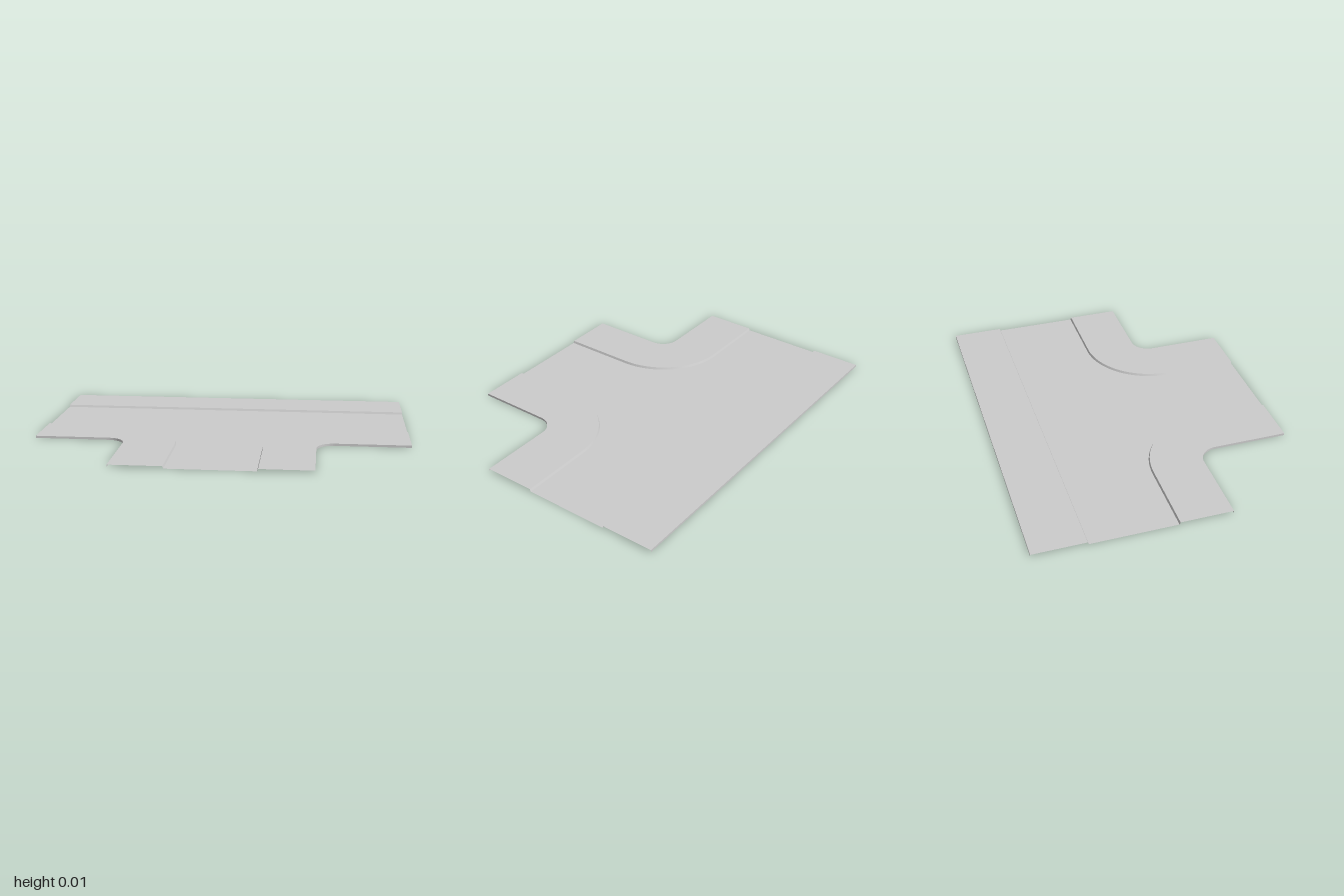
import * as THREE from 'three';
import { toCreasedNormals } from 'three/addons/utils/BufferGeometryUtils.js';

const material = new THREE.MeshStandardMaterial({ color: 0xcccccc, side: THREE.DoubleSide });

// Pavement section: [distance from the corner centre, height]
const KERB_FOOT = 0.377, OUTER = 0.098, HEIGHT = 0.012;
const section = [[KERB_FOOT, 0], [0.372, HEIGHT], [OUTER, HEIGHT], [OUTER, 0]];
const CORNER_X = 0.604, CORNER_Z = 0.354, END_X = 1, END_Z = 0.75, BACK_Z = -0.75;
const ARC_STEPS = 32;

// A frame is a centre (x, z) and the direction (dx, dz) in which the section is laid
const frame = (x, z, dx, dz) => ({ x, z, dx, dz });
const place = (f, r) => [f.x + f.dx * r, f.z + f.dz * r];

// Frames from the side end of the street, round the corner, to the end of the stem
function cornerFrames(side) {
  const frames = [frame(side * END_X, CORNER_Z, 0, -1)];
  for (let i = 0; i <= ARC_STEPS; i++) {
    const a = (i / ARC_STEPS) * Math.PI / 2;
    frames.push(frame(side * CORNER_X, CORNER_Z, -side * Math.sin(a), -Math.cos(a)));
  }
  frames.push(frame(side * CORNER_X, END_Z, -side, 0));
  return frames;
}

// Sweep the section along the frames: kerb, walking surface and outer edge
function sweepPavement(frames) {
  const positions = [];
  const point = (f, [r, y]) => {
    const [x, z] = place(f, r);
    return [x, y, z];
  };
  for (let i = 0; i < frames.length - 1; i++) {
    for (let j = 0; j < section.length - 1; j++) {
      const a = point(frames[i], section[j]);
      const b = point(frames[i], section[j + 1]);
      const c = point(frames[i + 1], section[j + 1]);
      const d = point(frames[i + 1], section[j]);
      positions.push(...a, ...d, ...c, ...a, ...c, ...b);
    }
  }
  const geometry = new THREE.BufferGeometry();
  geometry.setAttribute('position', new THREE.Float32BufferAttribute(positions, 3));
  return toCreasedNormals(geometry, Math.PI / 6);
}

export function createModel() {
  const group = new THREE.Group();
  const add = (name, geometry) => {
    const mesh = new THREE.Mesh(geometry, material);
    mesh.name = name;
    group.add(mesh);
  };

  const left = cornerFrames(1);
  const right = cornerFrames(-1);
  const backCentre = BACK_Z - OUTER;
  const back = [frame(-END_X, backCentre, 0, 1), frame(END_X, backCentre, 0, 1)];

  // Raised pavements
  add('leftCornerPavement', sweepPavement(left));
  add('rightCornerPavement', sweepPavement([...right].reverse()));
  add('backPavement', sweepPavement(back));

  // Flat T-shaped road between the kerbs
  const outline = [...back, ...left, ...[...right].reverse()].map((f) => {
    const [x, z] = place(f, KERB_FOOT);
    return new THREE.Vector2(x, -z);
  });
  add('road', new THREE.ShapeGeometry(new THREE.Shape(outline)).rotateX(-Math.PI / 2));

  return group;
}
